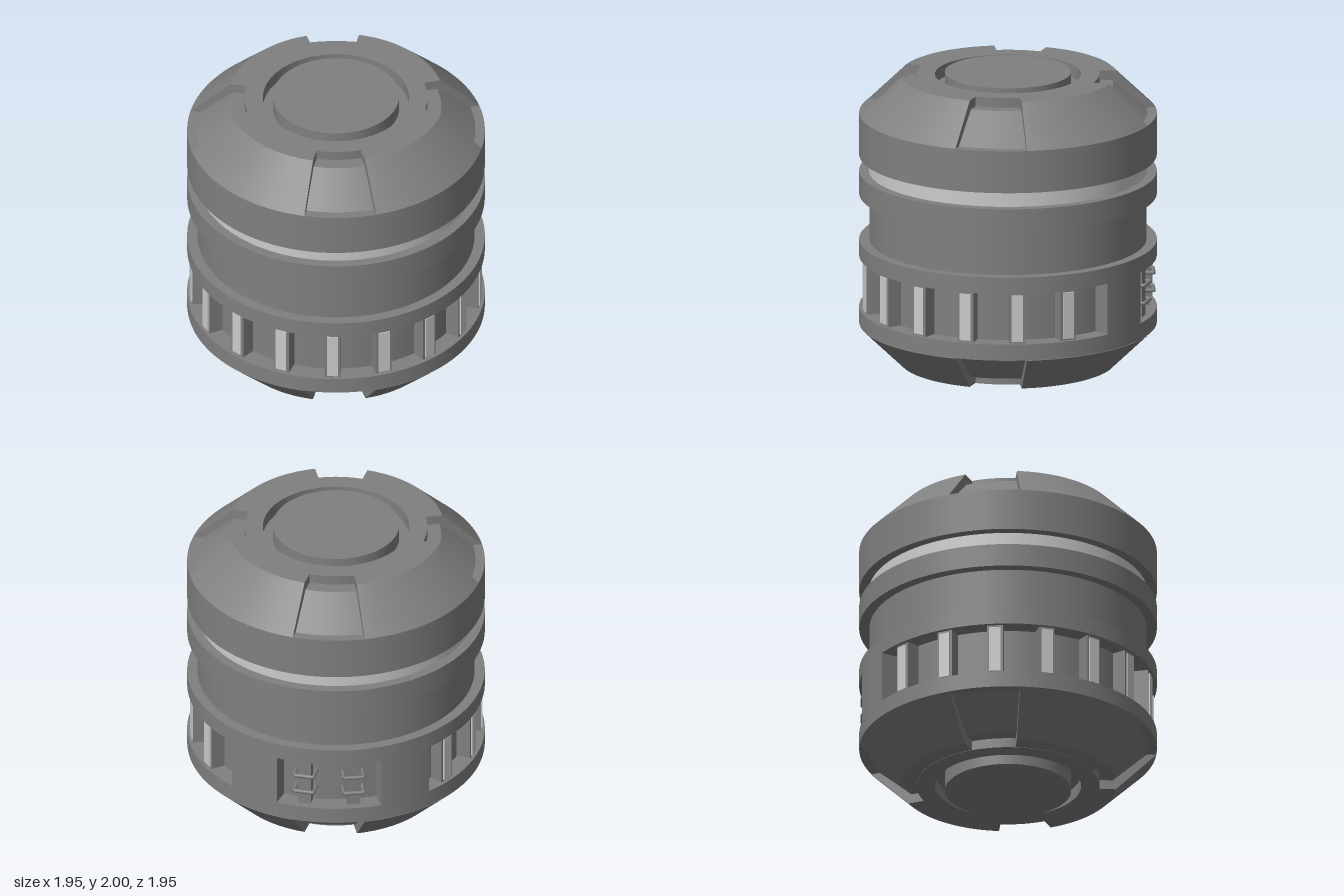
import * as THREE from 'three';
import { mergeGeometries } from 'three/addons/utils/BufferGeometryUtils.js';

const dark = new THREE.MeshStandardMaterial({ color: 0x808080, side: THREE.DoubleSide });
const light = new THREE.MeshStandardMaterial({ color: 0xcccccc });
const rad = THREE.MathUtils.degToRad;

// Revolve a counter-clockwise [radius, y] profile with sharp corners; angle 0 is the front, + towards +x.
function revolve(profile, from = 0, to = 360, closed = false) {
  const pts = profile.map(([r, y]) => new THREE.Vector2(r, y));
  const segs = Math.max(4, Math.round((to - from) / 3));
  const parts = [];
  const count = closed ? pts.length : pts.length - 1;
  for (let i = 0; i < count; i++) {
    const edge = [pts[i], pts[(i + 1) % pts.length]];
    parts.push(new THREE.LatheGeometry(edge, segs, rad(from), rad(to - from)));
  }
  // flat ends of a partial sweep
  if (closed) {
    for (const a of [from, to]) {
      const cap = new THREE.ShapeGeometry(new THREE.Shape(pts));
      parts.push(cap.rotateY(rad(a) - Math.PI / 2));
    }
  }
  return mergeGeometries(parts);
}

function add(parent, name, geometry, material = dark) {
  const mesh = new THREE.Mesh(geometry, material);
  mesh.name = name;
  parent.add(mesh);
  return mesh;
}

// Group turned so that its +z points outward at the given angle.
function spoke(parent, name, angle) {
  const g = new THREE.Group();
  g.name = name;
  g.rotation.y = rad(angle);
  parent.add(g);
  return g;
}

export function createModel() {
  const model = new THREE.Group();
  model.name = 'canister';

  // Main body: end discs, ring grooves, notch floors and flanges
  add(model, 'body', revolve([
    [0, 0], [0.415, 0], [0.415, 0.12], [0.48, 0.12], [0.48, 0.035], [0.6, 0.035],
    [0.6, 0.1], [0.69, 0.1], [0.915, 0.3], [0.977, 0.3], [0.977, 0.41],
    [0.86, 0.41], [0.86, 0.755], [0.977, 0.755], [0.977, 0.865],
    [0.91, 0.865], [0.91, 1.175], [0.977, 1.175], [0.977, 1.33],
    [0.91, 1.33], [0.91, 1.44], [0.977, 1.44], [0.977, 1.725],
    [0.915, 1.725], [0.69, 1.92], [0.6, 1.92], [0.6, 1.985],
    [0.48, 1.985], [0.48, 1.9], [0.415, 1.9], [0.415, 2], [0, 2],
  ]));

  // Light band in the upper groove
  add(model, 'lightBand', revolve([[0.914, 1.33], [0.914, 1.44]]), light);

  // Sloped shoulder plates between the four notches, top and bottom
  const upper = [[0.6, 1.92], [0.69, 1.92], [0.915, 1.725], [0.977, 1.725], [0.71, 1.985], [0.6, 1.985]];
  const lower = upper.map(([r, y]) => [r, 2.022 - y]).reverse();
  for (let i = 0; i < 4; i++) {
    const start = i * 90 + 14;
    add(model, 'upperShoulder', revolve(upper, start, start + 62, true));
    add(model, 'lowerShoulder', revolve(lower, start, start + 62, true));
  }

  // Solid wall pieces on either side of the rear opening
  const wall = [[0.86, 0.41], [0.977, 0.41], [0.977, 0.755], [0.86, 0.755]];
  add(model, 'rearWallRight', revolve(wall, 180 + 20.5, 180 + 41.5, true));
  add(model, 'rearWallLeft', revolve(wall, 180 - 41.5, 180 - 20.5, true));

  // Ribs with light strips around the recessed band
  const ribGeo = new THREE.BoxGeometry(0.105, 0.345, 0.12);
  const stripGeo = new THREE.BoxGeometry(0.075, 0.315, 0.02);
  for (let i = -6; i <= 6; i++) {
    const g = spoke(model, 'rib', -3.1 + i * 20.7);
    add(g, 'ribHolder', ribGeo).position.set(0, 0.5825, 0.892);
    add(g, 'ribLight', stripGeo, light).position.set(0, 0.58, 0.952);
  }

  // Rear posts, each with two bent handles
  const postGeo = new THREE.BoxGeometry(0.085, 0.345, 0.08);
  const path = new THREE.CurvePath();
  const bend = [[-0.065, 0.86], [-0.065, 0.955], [0.065, 0.955], [0.065, 0.86]]
    .map(([x, z]) => new THREE.Vector3(x, 0, z));
  for (let i = 0; i < 3; i++) path.add(new THREE.LineCurve3(bend[i], bend[i + 1]));
  const handleGeo = new THREE.TubeGeometry(path, 36, 0.013, 8);
  for (const a of [-10, 10]) {
    const g = spoke(model, 'rearPost', 180 + a);
    add(g, 'post', postGeo).position.set(0, 0.5825, 0.89);
    for (const y of [0.515, 0.635]) add(g, 'handle', handleGeo).position.y = y;
  }

  return model;
}
